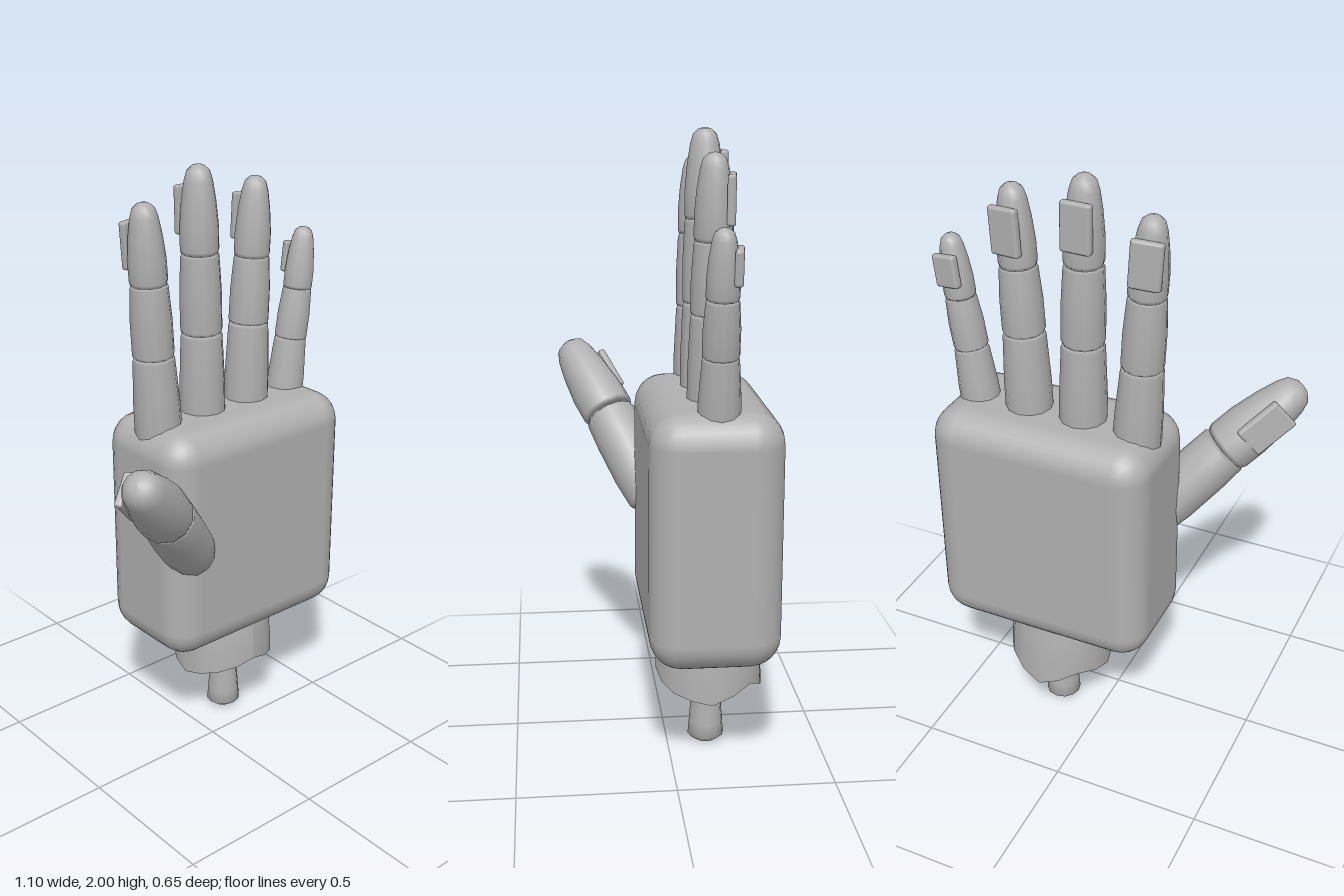
import * as THREE from 'three';
import { RoundedBoxGeometry } from 'three/addons/geometries/RoundedBoxGeometry.js';

const V = (x, y, z) => new THREE.Vector3(x, y, z);
const UP = V(0, 1, 0);

export function createModel() {
  const grey = new THREE.MeshStandardMaterial({ color: 0xb0b0b0 });
  grey.name = 'grey';
  const greyOpen = grey.clone(); // same colour for the open cuff
  greyOpen.side = THREE.DoubleSide;
  const hand = new THREE.Group();
  hand.name = 'hand';

  function add(parent, name, geometry, material = grey) {
    const mesh = new THREE.Mesh(geometry, material);
    mesh.name = name;
    parent.add(mesh);
    return mesh;
  }

  // Lathed phalanx between two points; profile rows are [radius, fraction of length]
  function phalanx(parent, name, a, b, profile) {
    const len = a.distanceTo(b);
    const pts = profile.map(([r, t]) => new THREE.Vector2(r, t * len));
    const mesh = add(parent, name, new THREE.LatheGeometry(pts, 12));
    mesh.position.copy(a);
    mesh.quaternion.setFromUnitVectors(UP, b.clone().sub(a).normalize());
  }
  const link = (r0, r1) => [[0, 0], [r0 * 0.94, 0], [r0, 0.04], [(r0 + r1) / 2 + 0.003, 0.5], [r1, 0.97], [r1 * 0.94, 1], [0, 1]];
  const tip = (r) => [[0, 0], [r * 0.94, 0], [r, 0.05], [r * 1.0, 0.3], [r * 0.88, 0.6], [r * 0.73, 0.82], [r * 0.58, 0.93], [r * 0.3, 0.985], [0, 1]];

  // Curved plate lying on the finger, its long side along the finger axis
  function nail(parent, a, b, t, out, r, w, h) {
    const geo = new RoundedBoxGeometry(w, h, 0.026, 2, 0.008);
    const p = geo.attributes.position;
    for (let i = 0; i < p.count; i++) p.setZ(i, p.getZ(i) - 4 * p.getX(i) ** 2);
    geo.computeVertexNormals();
    const axis = b.clone().sub(a).normalize();
    const normal = out.clone().addScaledVector(axis, -out.dot(axis)).normalize();
    const mesh = add(parent, 'nail', geo);
    mesh.quaternion.setFromRotationMatrix(new THREE.Matrix4().makeBasis(axis.clone().cross(normal), axis, normal));
    mesh.position.copy(a).lerp(b, t).addScaledVector(normal, r);
  }

  // Palm: block with soft corners
  const palm = add(hand, 'palm', new RoundedBoxGeometry(0.755, 0.805, 0.408, 3, 0.1));
  palm.position.set(0.1625, 0.7925, -0.121);

  // Fingers: x and y of the joints, radii, nail lean and size
  const fingers = [
    ['indexFinger', [[-0.118, 1.1], [-0.137, 1.42], [-0.15, 1.655], [-0.167, 1.912]], [0.079, 0.068, 0.061], -0.15, 0.1, 0.15],
    ['middleFinger', [[0.065, 1.1], [0.06, 1.46], [0.054, 1.72], [0.048, 2.0]], [0.077, 0.069, 0.063], 0, 0.1, 0.155],
    ['ringFinger', [[0.252, 1.1], [0.263, 1.455], [0.274, 1.675], [0.287, 1.935]], [0.077, 0.068, 0.06], 0.15, 0.1, 0.15],
    ['littleFinger', [[0.424, 1.1], [0.457, 1.36], [0.484, 1.53], [0.508, 1.737]], [0.067, 0.056, 0.05], 0.15, 0.085, 0.105],
  ];
  for (const [name, joints, [r0, r1, r2], lean, w, h] of fingers) {
    const finger = new THREE.Group();
    finger.name = name;
    hand.add(finger);
    const [a, b, c, d] = joints.map(([x, y]) => V(x, y, -0.127));
    phalanx(finger, 'lowerPhalanx', a, b, link(r0, r1));
    phalanx(finger, 'middlePhalanx', b, c, link(r1, r2));
    phalanx(finger, 'fingertip', c, d, tip(r2));
    nail(finger, c, d, 0.48, V(lean, 0, -1), r2 - 0.001, w, h);
  }

  // Thumb
  const thumb = new THREE.Group();
  thumb.name = 'thumb';
  hand.add(thumb);
  const root = V(-0.105, 0.765, 0.02), knuckle = V(-0.315, 1.015, 0.155), end = V(-0.522, 1.23, 0.29);
  phalanx(thumb, 'lowerPhalanx', root, knuckle, [[0, -0.06], [0.06, -0.04], [0.083, 0.03], [0.091, 0.3], [0.092, 0.7], [0.088, 0.97], [0.08, 1], [0, 1]]);
  phalanx(thumb, 'fingertip', knuckle, end, tip(0.09));
  nail(thumb, knuckle, end, 0.48, V(-0.45, 0.05, -0.85), 0.083, 0.11, 0.16);

  // Ragged cuff at the wrist, open below
  const hem = [0.265, 0.225, 0.2, 0.25, 0.19, 0.235, 0.2, 0.23]; // around from the front
  const sides = 16;
  const cuffGeo = new THREE.CylinderGeometry(1, 1, 1, sides, 3, true);
  const p = cuffGeo.attributes.position;
  for (let i = 0; i < p.count; i++) {
    const s = Math.round((Math.atan2(p.getX(i), p.getZ(i)) / (2 * Math.PI)) * sides + sides) % sides;
    const k = Math.floor(s / 2);
    const low = s % 2 ? (hem[k] + hem[(k + 1) % 8]) / 2 : hem[k];
    const t = p.getY(i) + 0.5;
    const back = p.getZ(i) < 0 ? 0.185 : 0.168;
    const swell = 1 - 0.12 * t * t;
    p.setXYZ(i, 0.16 + p.getX(i) * 0.177 * swell, low + (0.45 - low) * t, -0.13 + p.getZ(i) * back * swell);
  }
  cuffGeo.computeVertexNormals();
  add(hand, 'wristCuff', cuffGeo, greyOpen);

  // Bone stub
  const bone = [[0, 0], [0.035, 0.003], [0.06, 0.022], [0.056, 0.07], [0.046, 0.2], [0.038, 0.28], [0.038, 0.42]];
  const stub = add(hand, 'wristBone', new THREE.LatheGeometry(bone.map(([x, y]) => new THREE.Vector2(x, y)), 12));
  stub.position.set(0.16, 0, -0.13);

  return hand;
}
